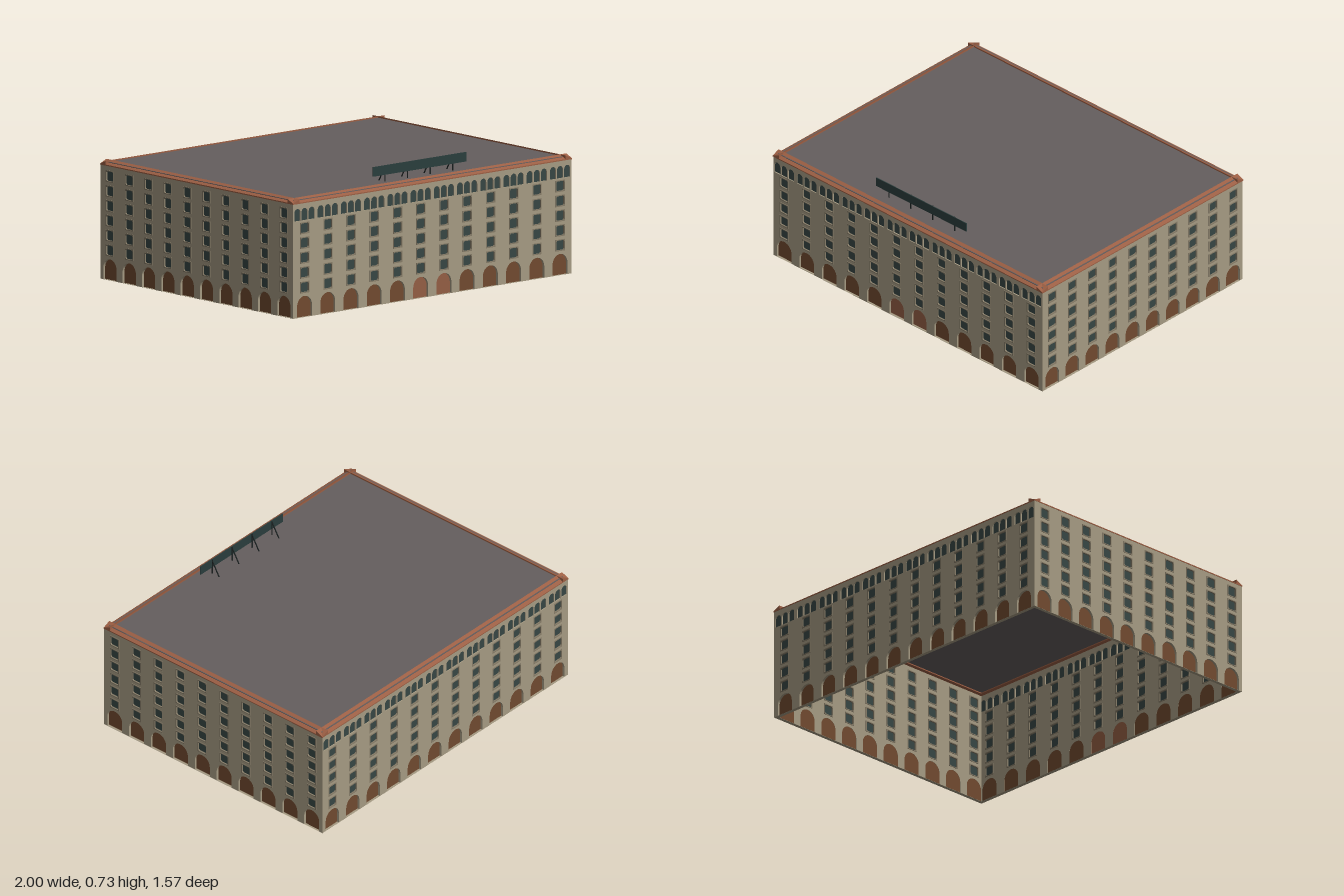
import * as THREE from 'three';
import { mergeGeometries } from 'three/addons/utils/BufferGeometryUtils.js';

const W = 1, D = 0.783, WALL_TOP = 0.628, T = 0.02;

const mat = (name, color) => {
  const m = new THREE.MeshStandardMaterial({ color });
  m.name = name;
  return m;
};

// closed outline with an arched head, base centred at x, y
function arch(Type, x, y, w, h) {
  const r = w / 2, s = new Type();
  s.moveTo(x - r, y);
  s.lineTo(x + r, y);
  s.lineTo(x + r, y + h - r);
  s.absarc(x, y + h - r, r, 0, Math.PI, false);
  s.lineTo(x - r, y);
  return s;
}

// rectangle centred at x, y with cut corners
function pane(Type, x, y, w, h, c = 0) {
  const a = w / 2, b = h / 2, s = new Type();
  s.moveTo(x - a + c, y - b);
  s.lineTo(x + a - c, y - b);
  if (c) s.lineTo(x + a, y - b + c);
  s.lineTo(x + a, y + b - c);
  if (c) s.lineTo(x + a - c, y + b);
  s.lineTo(x - a + c, y + b);
  if (c) s.lineTo(x - a, y + b - c);
  s.lineTo(x - a, y - b + c);
  s.closePath();
  return s;
}

const extrude = (shape, depth, z) =>
  new THREE.ExtrudeGeometry(shape, { depth, bevelEnabled: false, curveSegments: 10 }).translate(0, 0, z);

export function createModel() {
  const mats = {
    stone: mat('stone', 0xa59a82),
    trim: mat('window trim', 0x857b67),
    glass: mat('window glass', 0x374644),
    door: mat('door brown', 0x70492f),
    entrance: mat('entrance brown', 0x935d43),
    tile: mat('terracotta', 0x9c5f44),
    roof: mat('roof grey', 0x655e5e),
    sign: mat('sign green', 0x2a3d3c),
    metal: mat('dark metal', 0x1d2424),
  };
  const model = new THREE.Group();
  const add = (parent, name, geometry, material) => {
    const mesh = new THREE.Mesh(geometry, material);
    mesh.name = name;
    parent.add(mesh);
    return mesh;
  };

  // one facade, outer face on z = 0, with pierced doors and windows
  function facade(name, halfWidth, bays, pitch, rows, arcade, mainDoors) {
    const g = new THREE.Group();
    g.name = name;
    const wall = new THREE.Shape();
    wall.moveTo(-halfWidth, 0);
    wall.lineTo(halfWidth, 0);
    wall.lineTo(halfWidth, WALL_TOP);
    wall.lineTo(-halfWidth, WALL_TOP);
    wall.closePath();
    const parts = { trim: [], glass: [], door: [], entrance: [] };

    for (let i = 0; i < bays; i++) {
      const x = (i - (bays - 1) / 2) * pitch;
      // arched door set to the back of the wall
      wall.holes.push(arch(THREE.Path, x, 0.001, 0.107, 0.115));
      const main = mainDoors && Math.abs(x) < pitch;
      parts[main ? 'entrance' : 'door'].push(
        extrude(arch(THREE.Shape, x, 0.001, 0.107, 0.115), 0.006, -T + 0.001));
      // square windows with a raised surround
      for (let r = 0; r < rows; r++) {
        const y = 0.164 + r * 0.081;
        wall.holes.push(pane(THREE.Path, x, y, 0.058, 0.058));
        const frame = pane(THREE.Shape, x, y, 0.065, 0.063);
        frame.holes.push(pane(THREE.Path, x, y, 0.055, 0.053, 0.006));
        parts.trim.push(extrude(frame, T + 0.006, -T - 0.003));
        parts.glass.push(extrude(pane(THREE.Shape, x, y, 0.057, 0.055, 0.005), 0.008, -0.014));
      }
      // three small arched windows under the cornice
      if (arcade) for (const dx of [-0.051, 0, 0.051]) {
        wall.holes.push(arch(THREE.Path, x + dx, 0.53, 0.043, 0.067));
        parts.glass.push(extrude(arch(THREE.Shape, x + dx, 0.53, 0.043, 0.067), 0.008, -0.014));
      }
    }
    add(g, 'wall', extrude(wall, T, -T), mats.stone);
    const names = { trim: 'windowFrames', glass: 'windowPanes', door: 'archedDoors', entrance: 'mainEntrances' };
    for (const key in parts) {
      if (parts[key].length) add(g, names[key], mergeGeometries(parts[key]), mats[key]);
    }
    model.add(g);
    return g;
  }

  const wx = W - 0.002, wz = D - 0.002;
  facade('frontFacade', wx, 12, 1 / 6, 5, true, true).position.z = wz;
  const back = facade('backFacade', wx, 12, 1 / 6, 5, true, false);
  back.rotation.y = Math.PI;
  back.position.z = -wz;
  for (const s of [1, -1]) {
    const side = facade(s > 0 ? 'leftFacade' : 'rightFacade', wz - T, 10, 0.1567, 6, false, false);
    side.rotation.y = s * Math.PI / 2;
    side.position.x = s * wx;
  }

  // flat roof
  add(model, 'roof', new THREE.BoxGeometry(1.96, 0.012, 2 * D - 0.04).translate(0, 0.636, 0), mats.roof);

  // sloped tile cornice along each side, high on the inner edge
  const profile = new THREE.Shape([
    new THREE.Vector2(0, 0.624), new THREE.Vector2(0, 0.63),
    new THREE.Vector2(-0.045, 0.65), new THREE.Vector2(-0.045, 0.624),
  ]);
  [[D, W, 0], [W, D, 1], [D, W, 2], [W, D, 3]].forEach(([dist, half, turn], i) => {
    // profile x becomes the outward direction
    const geo = extrude(profile, 2 * half, -half).translate(dist, 0, 0).rotateY(-Math.PI / 2 + turn * Math.PI / 2);
    add(model, 'cornice' + (i + 1), geo, mats.tile);
  });

  // rooftop sign board on braced posts
  const sign = new THREE.Group();
  sign.name = 'roofSign';
  add(sign, 'board', new THREE.BoxGeometry(0.67, 0.052, 0.005).translate(0, 0.706, 0.676), mats.sign);
  const bar = (name, a, b) => {
    const from = new THREE.Vector3(...a), to = new THREE.Vector3(...b);
    const mesh = add(sign, name, new THREE.BoxGeometry(0.005, from.distanceTo(to), 0.005), mats.metal);
    mesh.position.copy(from).add(to).multiplyScalar(0.5);
    mesh.quaternion.setFromUnitVectors(new THREE.Vector3(0, 1, 0), to.sub(from).normalize());
  };
  for (const x of [-0.243, -0.081, 0.081, 0.243]) {
    bar('post', [x, 0.64, 0.672], [x, 0.731, 0.672]);
    bar('brace', [x, 0.64, 0.622], [x, 0.725, 0.672]);
  }
  model.add(sign);
  return model;
}
